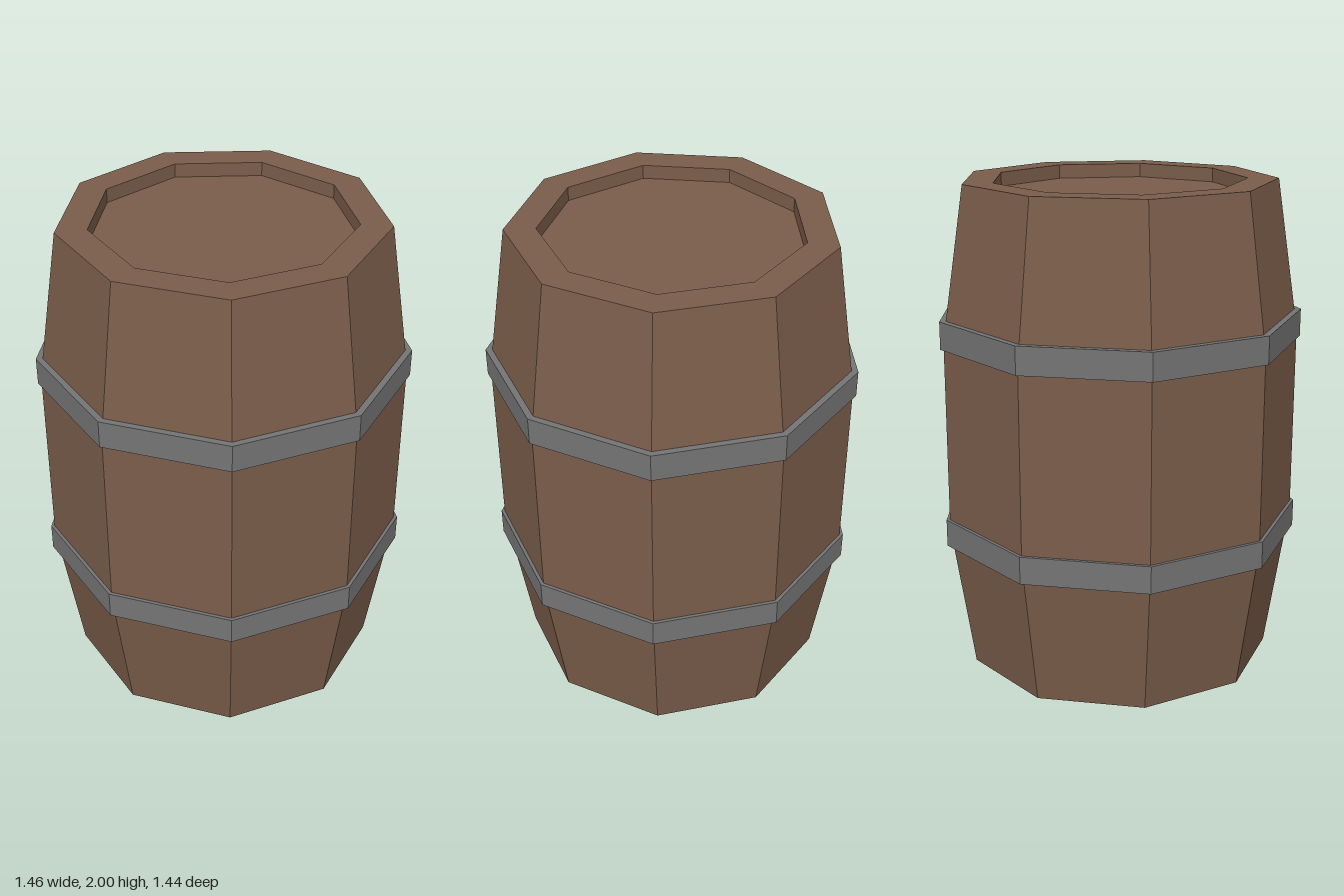
import * as THREE from 'three';

const SIDES = 9;

// Faceted lathe with one corner pointing to the back; profile runs bottom to top
function facetedLathe(name, profile, material) {
  const points = profile.map(([r, y]) => new THREE.Vector2(r, y));
  const geometry = new THREE.LatheGeometry(points, SIDES, Math.PI).toNonIndexed();
  geometry.computeVertexNormals();
  const mesh = new THREE.Mesh(geometry, material);
  mesh.name = name;
  return mesh;
}

export function createModel() {
  const wood = new THREE.MeshStandardMaterial({ color: 0x7a5d4a, flatShading: true });
  wood.name = 'wood';
  const iron = new THREE.MeshStandardMaterial({ color: 0x747474, flatShading: true });
  iron.name = 'iron';

  const barrel = new THREE.Group();
  barrel.name = 'barrel';

  // Staves with recessed heads at both ends
  const rim = 0.635, belly = 0.728, head = 0.512, recess = 0.057;
  barrel.add(facetedLathe('staves', [
    [head, 0], [rim, 0], [belly, 0.61], [belly, 1.39], [rim, 2], [head, 2],
  ], wood));
  barrel.add(facetedLathe('bottomHead', [[0, recess], [head, recess], [head, 0]], wood));
  barrel.add(facetedLathe('topHead', [[head, 2], [head, 2 - recess], [0, 2 - recess]], wood));

  // Two solid hoops
  const hoop = 0.742, inner = 0.7, height = 0.112;
  [['lowerHoop', 0.534], ['upperHoop', 1.36]].forEach(([name, y]) => {
    barrel.add(facetedLathe(name, [
      [inner, y], [hoop, y], [hoop, y + height], [inner, y + height],
    ], iron));
  });

  // Centre the odd-sided outline front to back
  barrel.position.z = 0.022;
  const model = new THREE.Group();
  model.add(barrel);
  return model;
}
